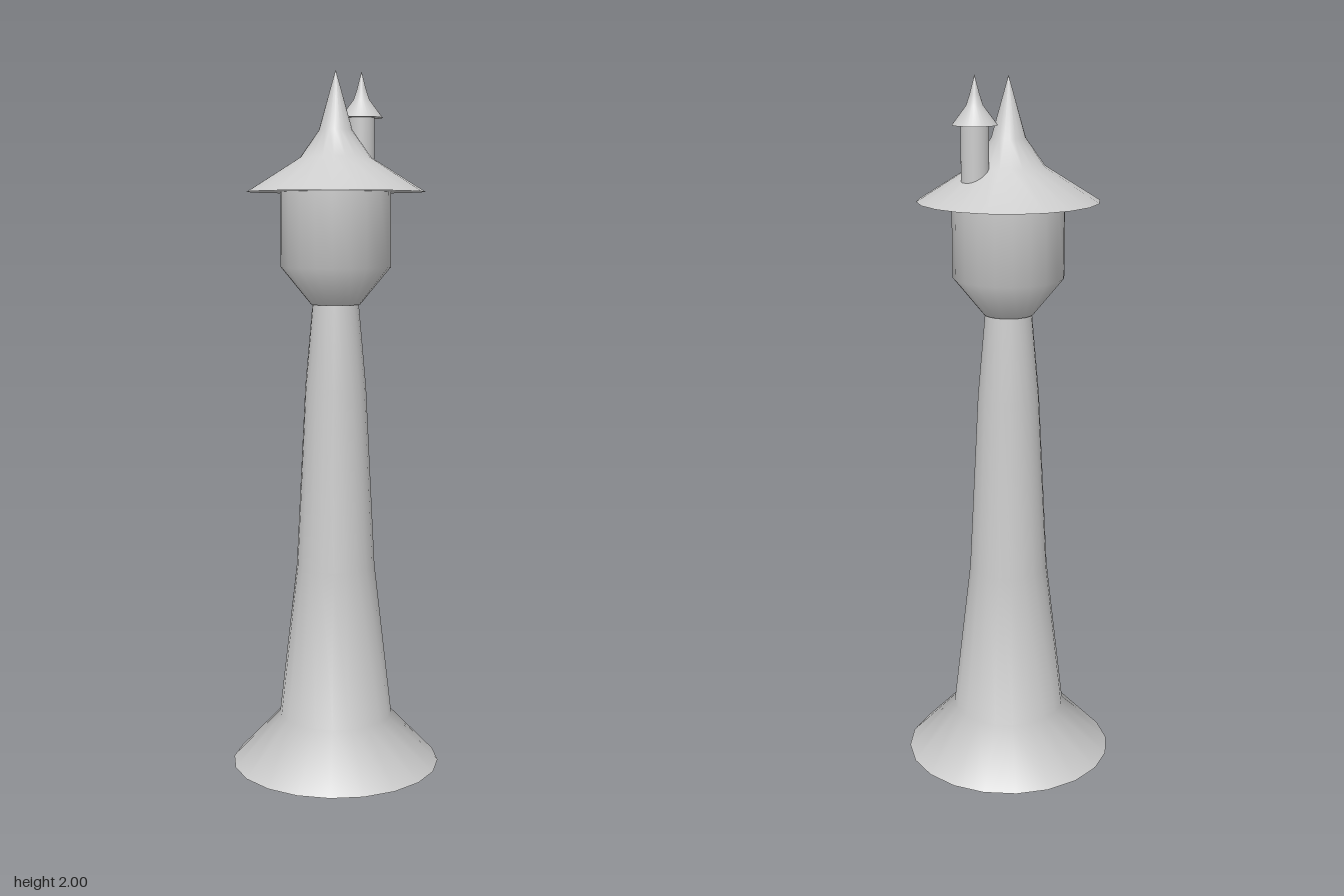
import * as THREE from 'three';

const material = new THREE.MeshStandardMaterial({ color: 0xcccccc });

// Turned part from [radius, height] points, bottom to top, with a flat underside
function turned(name, profile, sides) {
  const part = new THREE.Group();
  part.name = name;
  const points = profile.map(([r, y]) => new THREE.Vector2(r, y));
  const wall = new THREE.Mesh(new THREE.LatheGeometry(points, sides), material);
  wall.name = name + 'Wall';
  const disc = new THREE.CircleGeometry(profile[0][0], sides);
  disc.rotateX(Math.PI / 2);
  const underside = new THREE.Mesh(disc, material);
  underside.name = name + 'Underside';
  underside.position.y = profile[0][1];
  part.add(wall, underside);
  return part;
}

export function createModel() {
  const tower = new THREE.Group();
  tower.name = 'tower';

  // Flared foot and tapering shaft
  tower.add(turned('shaft', [[0.302, 0], [0.164, 0.145], [0.113, 0.59], [0.087, 1.11], [0.066, 1.345]], 20));

  // Wider chamber at the top
  tower.add(turned('chamber', [[0.07, 1.345], [0.156, 1.45], [0.156, 1.66]], 20));

  // Broad roof sweeping up to a spire
  tower.add(turned('roof', [[0.252, 1.66], [0.1, 1.755], [0.047, 1.83], [0, 1.995]], 20));

  // Small turret rising from the left of the roof
  const turret = new THREE.Group();
  turret.name = 'turret';
  turret.position.x = 0.117;
  turret.add(turned('turretBody', [[0.038, 1.69], [0.038, 1.87]], 32));
  turret.add(turned('turretRoof', [[0.061, 1.87], [0.023, 1.92], [0.013, 1.95], [0, 2]], 32));
  tower.add(turret);

  return tower;
}
